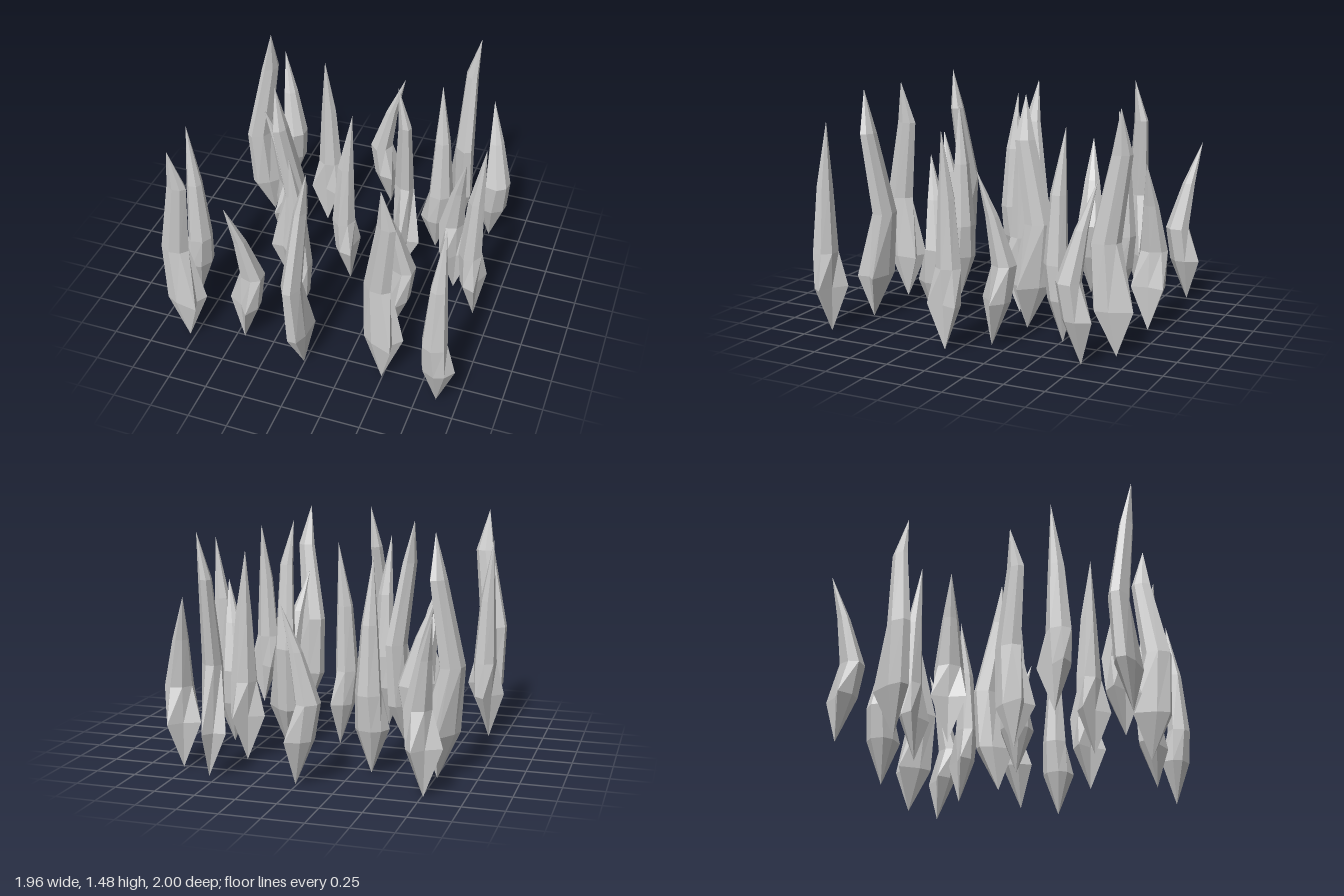
import * as THREE from 'three';

// Cross-sections as [front/back fraction, side fraction], seven sided
const STAR = [[0.85, 0], [1, 1], [0.35, 0.85], [0, 0.4], [0, -0.4], [0.35, -0.85], [1, -1]];
const ROUND = [[1, 0], [0.8, 0.75], [0.4, 1], [0, 0.4], [0, -0.4], [0.4, -1], [0.8, -0.75]];

// Three flame shapes; base is [front, side], tip is [front, y, side],
// rings are [y, back, front, half width, sideways shift],
// clusters are [x, z, facing x, facing z]
const FLAMES = [
  {
    name: 'shortCurvedFlame',
    base: [0, 0],
    tip: [0.085, 1.075, 0],
    rings: [[0.28, -0.11, 0.035, 0.105, 0], [0.5, -0.148, 0, 0.09, 0], [0.8, -0.042, 0.035, 0.05, 0]],
    places: [
      [-0.76, -0.9, -0.65, -0.76], [0.01, -0.895, 1, 0], [0.78, -0.765, -0.57, -0.82],
      [-0.6, -0.264, -0.95, 0.3], [0.69, -0.145, 0.6, 0.78], [0.42, 0.385, -0.72, 0.69],
      [-0.445, 0.76, -0.66, 0.75],
    ],
  },
  {
    name: 'straightFlame',
    base: [0, 0],
    tip: [0.01, 1.325, 0],
    rings: [[0.28, -0.09, 0.035, 0.105, 0], [0.5, -0.115, 0.03, 0.085, 0], [0.92, -0.08, 0.02, 0.052, 0]],
    places: [
      [-0.358, -0.55, -0.23, 0.97], [0.459, -0.512, -0.62, -0.78], [0.007, -0.005, 1, 0],
      [0.883, 0.07, 0.98, 0.17], [-0.895, 0.442, -0.85, -0.52], [-0.185, 0.53, -0.7, 0.71],
      [0.867, 0.882, 0.44, -0.9],
    ],
  },
  {
    name: 'tallTwistedFlame',
    base: [-0.045, 0.025],
    tip: [-0.045, 1.475, 0.07],
    rings: [[0.28, -0.18, 0.045, 0.072, 0], [0.68, -0.2, -0.02, 0.062, -0.015], [1.2, -0.09, 0.033, 0.04, 0.025]],
    places: [
      [0.515, -0.925, -0.45, -0.89], [-0.755, -0.59, 0.6, -0.8], [0.343, -0.176, 0.6, 0.8],
      [-0.412, 0.14, -0.36, 0.93], [-0.738, 0.84, 1, 0.1], [-0.03, 0.8, 0, -1],
      [0.544, 0.797, 0.95, 0.3],
    ],
  },
];

// Loft from a pointed base through the rings to a pointed tip
function flameGeometry({ base, rings, tip }) {
  const n = STAR.length;
  const positions = [base[0], 0, base[1]];
  rings.forEach(([y, back, front, half, shift], r) => {
    for (const [f, w] of r === 0 ? STAR : ROUND) {
      positions.push(back + (front - back) * f, y, shift + w * half);
    }
  });
  positions.push(...tip);
  const last = positions.length / 3 - 1;
  const index = [];
  for (let i = 0; i < n; i++) {
    const j = (i + 1) % n;
    index.push(0, 1 + i, 1 + j);
    for (let r = 0; r < rings.length - 1; r++) {
      const a = 1 + r * n, b = a + n;
      index.push(a + i, b + i, a + j, a + j, b + i, b + j);
    }
    const top = 1 + (rings.length - 1) * n;
    index.push(top + i, last, top + j);
  }
  const indexed = new THREE.BufferGeometry();
  indexed.setAttribute('position', new THREE.Float32BufferAttribute(positions, 3));
  indexed.setIndex(index);
  const geometry = indexed.toNonIndexed();
  geometry.computeVertexNormals();
  return geometry;
}

export function createModel() {
  const model = new THREE.Group();
  model.name = 'flames';
  const material = new THREE.MeshStandardMaterial({ color: 0xcccccc, flatShading: true });
  for (const flame of FLAMES) {
    const geometry = flameGeometry(flame);
    for (const [x, z, dx, dz] of flame.places) {
      const mesh = new THREE.Mesh(geometry, material);
      mesh.name = flame.name;
      mesh.position.set(x, 0, z);
      mesh.rotation.y = Math.atan2(-dz, dx);
      model.add(mesh);
    }
  }
  return model;
}
